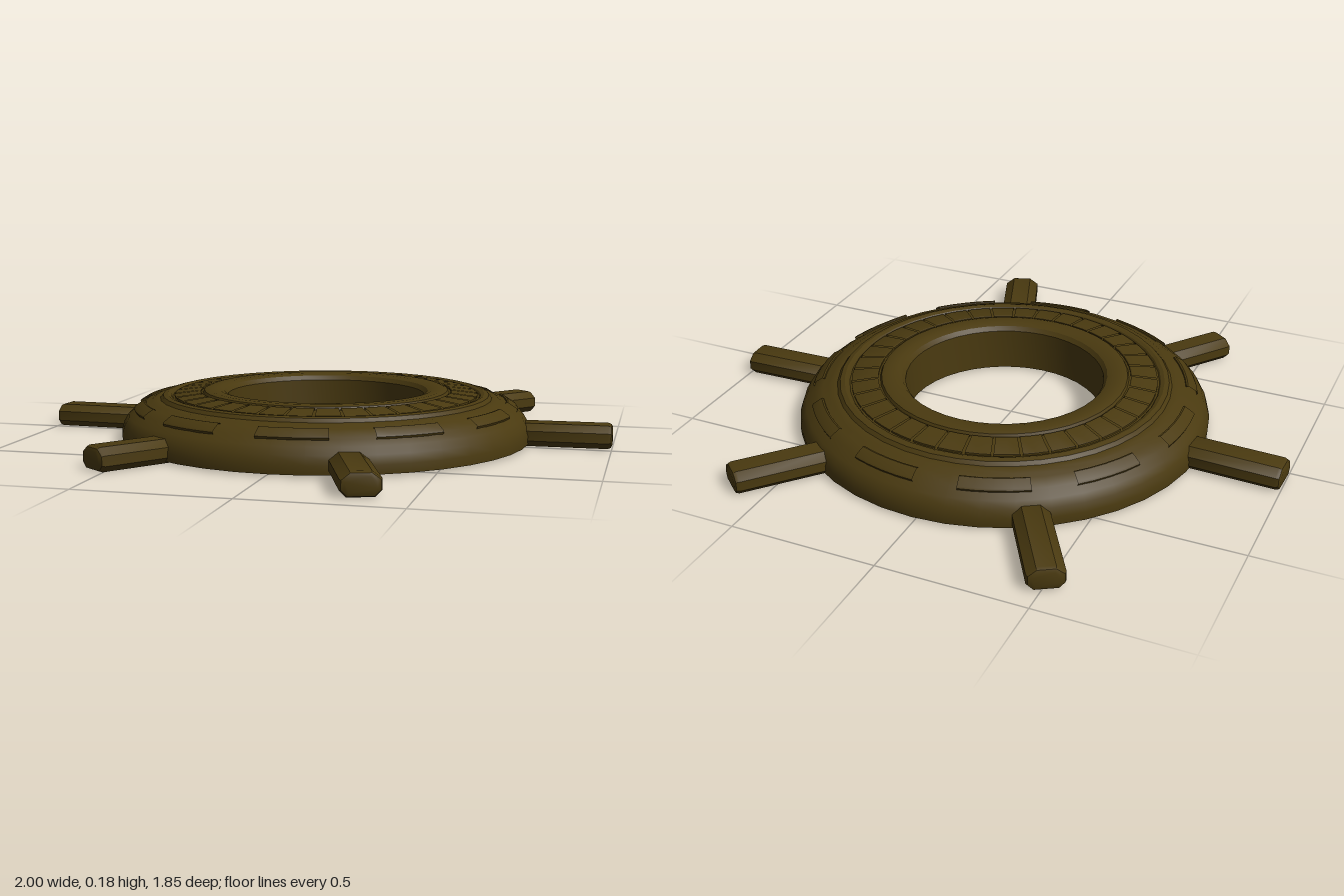
import * as THREE from 'three';
import { toCreasedNormals } from 'three/addons/utils/BufferGeometryUtils.js';

const material = new THREE.MeshStandardMaterial({ color: 0x4a3a10, side: THREE.DoubleSide });
const CENTRE = new THREE.Vector3(0.012, 0, -0.028);

// Revolve a profile of [radius, height] points, whole or as an arc.
function revolve(name, profile, segments, start = 0, length = Math.PI * 2) {
  const points = profile.map(([r, y]) => new THREE.Vector2(r, y));
  const geometry = new THREE.LatheGeometry(points, segments, start, length);
  const mesh = new THREE.Mesh(toCreasedNormals(geometry, 0.5), material);
  mesh.name = name;
  return mesh;
}

// Chamfered bar running from a base point to a tip point, both [x, z].
function spoke([bx, bz], [tx, tz], width) {
  const bevel = 0.015;
  const w = width / 2 - bevel;
  const shape = new THREE.Shape([
    [-w + 0.012, 0.018], [w - 0.012, 0.018], [w, 0.03], [w, 0.05],
    [w - 0.02, 0.065], [-w + 0.02, 0.065], [-w, 0.05], [-w, 0.03],
  ].map(([x, y]) => new THREE.Vector2(x, y)));
  const length = Math.hypot(tx - bx, tz - bz);
  const geometry = new THREE.ExtrudeGeometry(shape, {
    depth: length - 2 * bevel, bevelEnabled: true,
    bevelThickness: bevel, bevelSize: bevel, bevelSegments: 2,
  });
  geometry.translate(0, 0, bevel);
  const mesh = new THREE.Mesh(toCreasedNormals(geometry, 0.5), material);
  mesh.name = 'spoke';
  mesh.position.set(bx, 0, bz);
  mesh.rotation.y = Math.atan2(tx - bx, tz - bz);
  return mesh;
}

export function createModel() {
  const model = new THREE.Group();
  model.name = 'spokedRing';

  const ring = new THREE.Group();
  ring.name = 'ring';
  ring.position.copy(CENTRE);
  model.add(ring);

  // Stepped ring body with a flat underside and a round hole
  ring.add(revolve('ringBody', [
    [0.342, 0.01], [0.71, 0.01], [0.712, 0.04], [0.703, 0.07], [0.688, 0.095],
    [0.664, 0.112], [0.658, 0.118], [0.628, 0.138], [0.608, 0.143], [0.6, 0.148],
    [0.578, 0.15], [0.568, 0.162], [0.552, 0.166], [0.54, 0.162], [0.535, 0.156],
    [0.43, 0.167], [0.425, 0.176], [0.41, 0.181], [0.375, 0.18], [0.355, 0.173],
    [0.343, 0.158], [0.342, 0.01],
  ], 40));

  // Paving of thin tiles on the inner band
  const tiles = 36;
  const tileStep = (Math.PI * 2) / tiles;
  for (let i = 0; i < tiles; i++) {
    ring.add(revolve('tile', [
      [0.528, 0.152], [0.528, 0.163], [0.524, 0.165], [0.44, 0.174], [0.436, 0.172], [0.436, 0.16],
    ], 2, i * tileStep + 0.008, tileStep - 0.016));
  }

  // Raised dashes on the outer slope
  const dashes = 11;
  for (let i = 0; i < dashes; i++) {
    const middle = THREE.MathUtils.degToRad(5) + (i * Math.PI * 2) / dashes;
    ring.add(revolve('dash', [
      [0.662, 0.105], [0.668, 0.118], [0.664, 0.124], [0.634, 0.143], [0.628, 0.142], [0.622, 0.13],
    ], 4, middle - 0.175, 0.35));
  }

  // Six uneven spokes: base, tip, width
  [
    [[0.66, -0.067], [1, -0.078], 0.128],
    [[-0.64, -0.055], [-1, -0.069], 0.132],
    [[-0.32, -0.585], [-0.515, -0.905], 0.12],
    [[0.40, -0.56], [0.625, -0.818], 0.128],
    [[-0.37, 0.50], [-0.545, 0.736], 0.125],
    [[0.24, 0.6], [0.352, 0.905], 0.125],
  ].forEach(([base, tip, width]) => model.add(spoke(base, tip, width)));

  return model;
}
